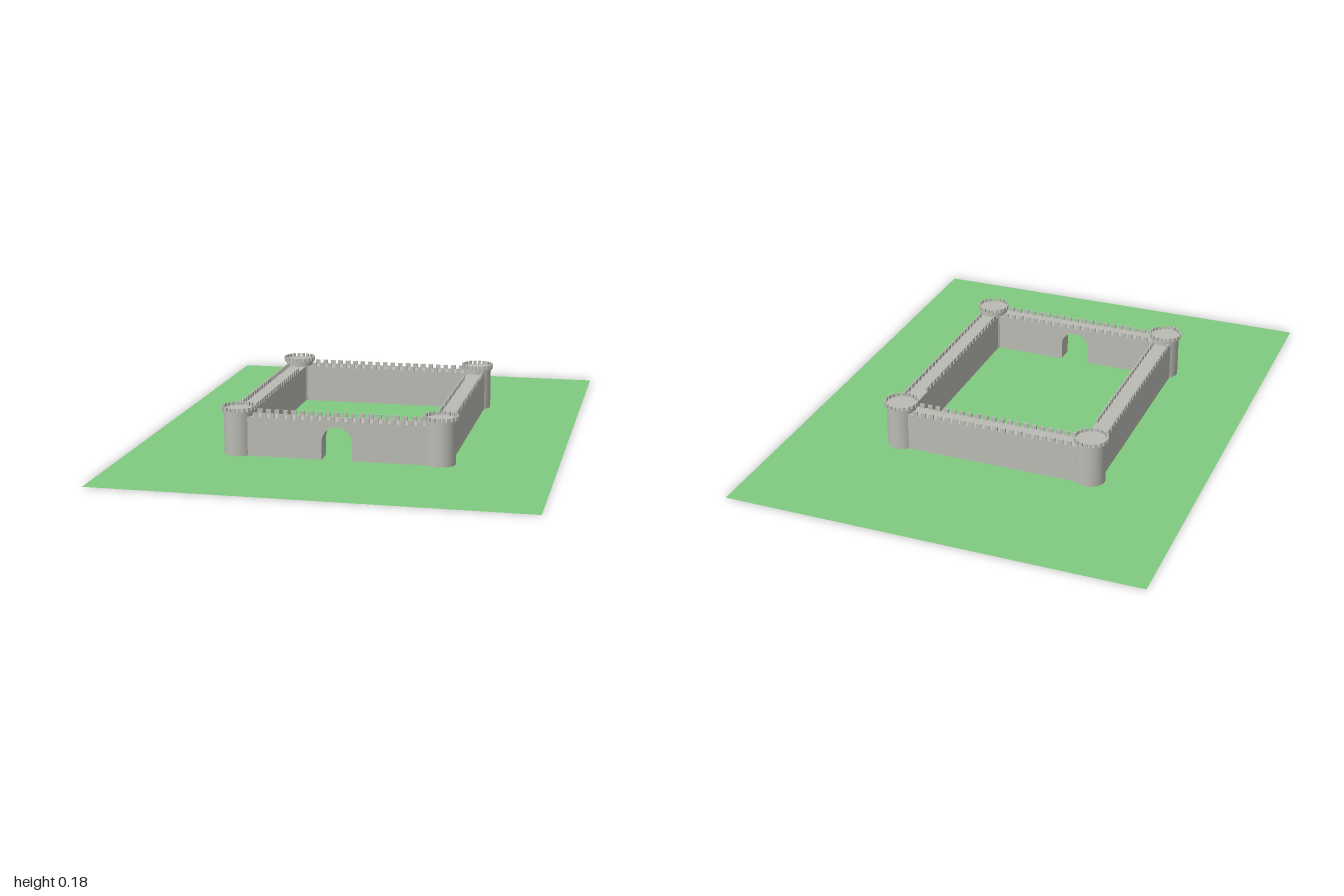
import * as THREE from 'three';
import { mergeGeometries } from 'three/addons/utils/BufferGeometryUtils.js';

export function createModel() {
  const model = new THREE.Group();
  model.name = 'walledFort';
  const stone = new THREE.MeshStandardMaterial({ color: 0xbbbbb4 });
  stone.name = 'stone grey';
  const grass = new THREE.MeshStandardMaterial({ color: 0x80cb80, side: THREE.DoubleSide });
  grass.name = 'grass green';

  const add = (name, geometry, material = stone, parent = model) => {
    const mesh = new THREE.Mesh(geometry, material);
    mesh.name = name;
    parent.add(mesh);
    return mesh;
  };

  const X0 = -0.378, X1 = 0.358;    // tower centre lines
  const Z0 = -0.423, Z1 = 0.465;
  const CX = (X0 + X1) / 2;
  const WALL_H = 0.142, WALL_T = 0.07, MERLON_T = 0.007, MERLON_H = 0.016;

  // Lawn
  add('lawn', new THREE.PlaneGeometry(1.54, 2).rotateX(-Math.PI / 2), grass);

  // Front wall with an arched gate cut through it
  const halfGate = 0.055, spring = 0.065;
  const s = new THREE.Shape();
  s.moveTo(X0, 0);
  s.lineTo(CX - halfGate, 0);
  s.lineTo(CX - halfGate, spring);
  s.absarc(CX, spring, halfGate, Math.PI, 0, true);
  s.lineTo(CX + halfGate, 0);
  s.lineTo(X1, 0);
  s.lineTo(X1, WALL_H);
  s.lineTo(X0, WALL_H);
  const front = new THREE.ExtrudeGeometry(s, { depth: WALL_T, bevelEnabled: false, curveSegments: 20 });
  add('frontWall', front.translate(0, 0, Z1 - WALL_T / 2));

  // Plain walls
  const wall = (name, w, d, x, z) =>
    add(name, new THREE.BoxGeometry(w, WALL_H, d).translate(x, WALL_H / 2, z));
  wall('backWall', X1 - X0, WALL_T, CX, Z0);
  wall('rightWall', WALL_T, Z1 - Z0, X0, (Z0 + Z1) / 2);
  wall('leftWall', WALL_T, Z1 - Z0, X1, (Z0 + Z1) / 2);

  // Row of merlons between two points along one axis
  const merlonRow = (name, axis, from, to, fixed) => {
    const count = Math.round((to - from) / 0.031);
    const step = (to - from) / count;
    const blocks = [];
    for (let i = 0; i < count; i++) {
      const p = from + (i + 0.5) * step;
      const y = WALL_H + MERLON_H / 2;
      blocks.push(axis === 'x'
        ? new THREE.BoxGeometry(0.018, MERLON_H, MERLON_T).translate(p, y, fixed)
        : new THREE.BoxGeometry(MERLON_T, MERLON_H, 0.018).translate(fixed, y, p));
    }
    add(name, mergeGeometries(blocks));
  };
  const off = WALL_T / 2 - MERLON_T / 2;
  const gap = 0.055;
  for (const [label, z] of [['front', Z1], ['back', Z0]]) {
    merlonRow(label + 'MerlonsA', 'x', X0 + gap, X1 - gap, z + off);
    merlonRow(label + 'MerlonsB', 'x', X0 + gap, X1 - gap, z - off);
  }
  // Inner side rows stop short of the back towers
  for (const [label, x, out] of [['right', X0, -1], ['left', X1, 1]]) {
    merlonRow(label + 'OuterMerlons', 'z', Z0 + gap, Z1 - gap, x + out * off);
    merlonRow(label + 'InnerMerlons', 'z', -0.277, Z1 - gap, x - out * off);
  }

  // Corner towers: shaft, overhanging platform and ring of merlons
  const shaft = new THREE.CylinderGeometry(0.054, 0.054, 0.158, 40).translate(0, 0.079, 0);
  const platform = new THREE.CylinderGeometry(0.061, 0.061, 0.006, 40).translate(0, 0.16, 0);
  const ring = [];
  const N = 20;
  for (let i = 0; i < N; i++) {
    ring.push(new THREE.BoxGeometry(0.012, 0.014, 0.006)
      .translate(0, 0.169, 0.059).rotateY((i / N) * Math.PI * 2));
  }
  const crown = mergeGeometries(ring);
  for (const [xl, x] of [['Right', X0], ['Left', X1]]) {
    for (const [zl, z] of [['front', Z1], ['back', Z0]]) {
      const tower = new THREE.Group();
      tower.name = zl + xl + 'Tower';
      tower.position.set(x, 0, z);
      add('towerShaft', shaft, stone, tower);
      add('towerPlatform', platform, stone, tower);
      add('towerMerlons', crown, stone, tower);
      model.add(tower);
    }
  }
  return model;
}
